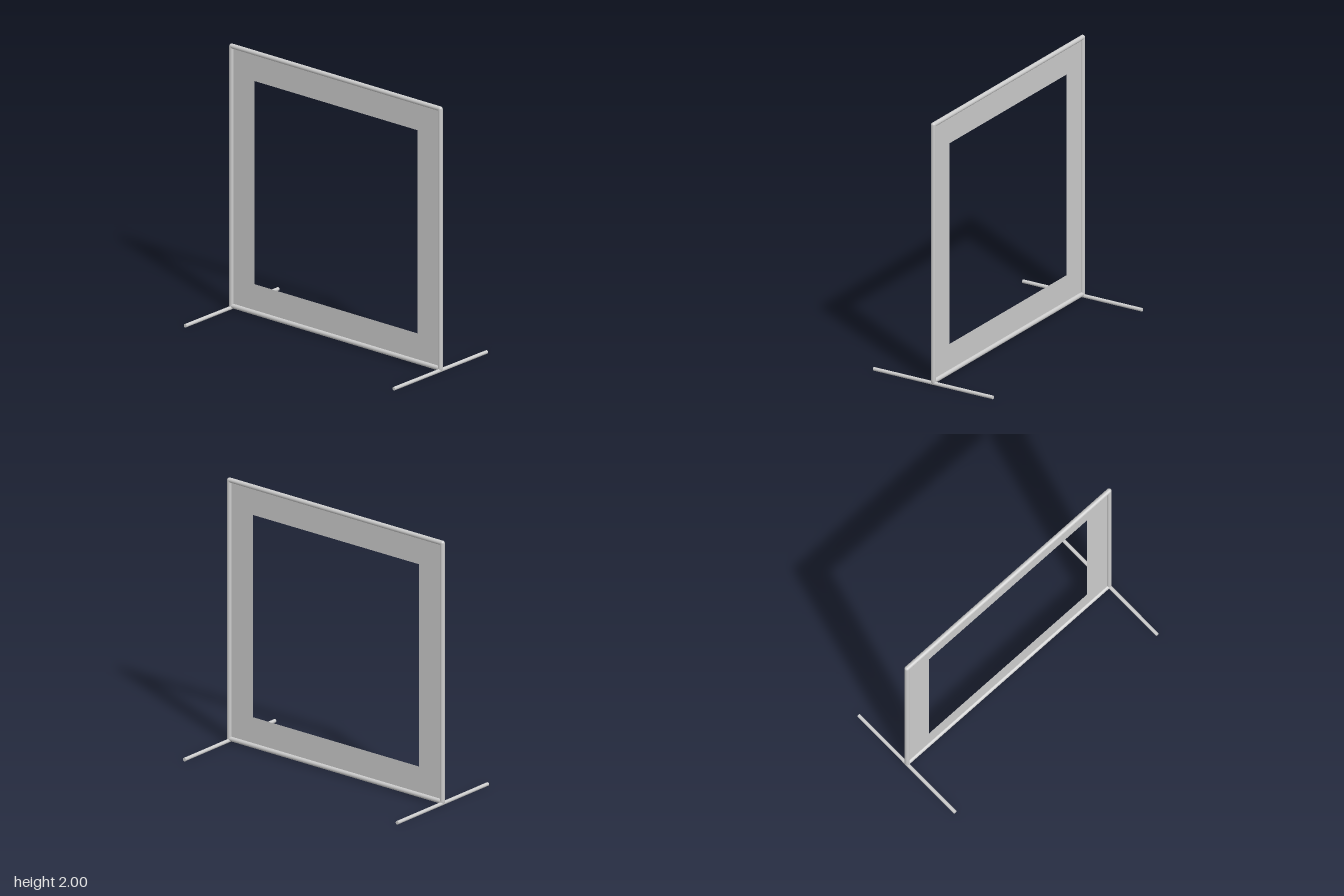
import * as THREE from 'three';

const HALF = 0.978;      // frame centre line, half width
const MID_Y = 1.005;     // height of the frame centre
const TUBE_R = 0.0175;
const FOOT_R = 0.0133;
const HOLE = 0.765;      // half width of the opening

export function createModel() {
  const group = new THREE.Group();
  const material = new THREE.MeshStandardMaterial({ color: 0xcccccc });
  const sheet = new THREE.MeshStandardMaterial({ color: 0xcccccc, side: THREE.DoubleSide });

  const add = (name, geometry, x, y, mat = material) => {
    const mesh = new THREE.Mesh(geometry, mat);
    mesh.name = name;
    mesh.position.set(x, y, 0);
    group.add(mesh);
    return mesh;
  };

  // Square tube frame with rounded corner joints
  const bar = new THREE.CylinderGeometry(TUBE_R, TUBE_R, HALF * 2, 24, 1, true);
  const joint = new THREE.SphereGeometry(TUBE_R, 24, 16);
  for (const s of [-1, 1]) {
    const side = s > 0 ? 'left' : 'right';
    const level = s > 0 ? 'top' : 'bottom';
    add(`${side}Upright`, bar, s * HALF, MID_Y);
    add(`${level}Rail`, bar, 0, MID_Y + s * HALF).rotation.z = Math.PI / 2;
    for (const t of [-1, 1]) {
      add(`${level}${t > 0 ? 'Left' : 'Right'}Corner`, joint, t * HALF, MID_Y + s * HALF);
    }
    // Foot bar running front to back under each upright
    const foot = new THREE.CylinderGeometry(FOOT_R, FOOT_R, 1, 24);
    add(`${side}Foot`, foot, s * HALF, FOOT_R).rotation.x = Math.PI / 2;
  }

  // Thin flat border sheet with a square opening
  const square = (Type, h) => new Type([[-h, -h], [h, -h], [h, h], [-h, h]]
    .map(([x, y]) => new THREE.Vector2(x, y)));
  const border = square(THREE.Shape, HALF);
  border.holes.push(square(THREE.Path, HOLE));
  add('borderPanel', new THREE.ShapeGeometry(border), 0, MID_Y, sheet);

  return group;
}
